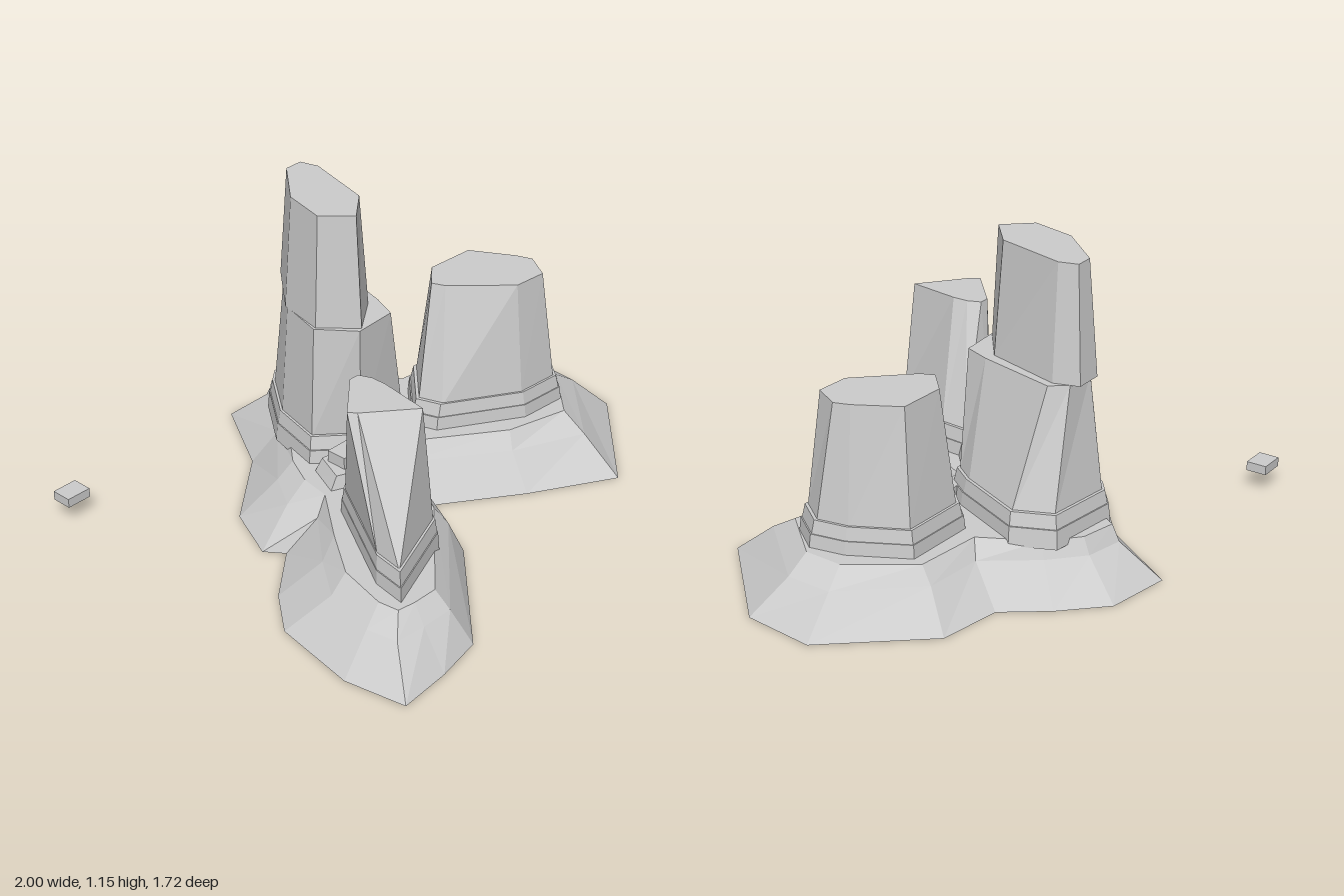
import * as THREE from 'three';

const rock = new THREE.MeshStandardMaterial({ color: 0xcccccc, side: THREE.DoubleSide });
rock.name = 'pale rock';

// Joins outlines of [x, z] points, stacked at given heights, into a faceted solid
function loft(name, levels, closedBottom = true) {
  const pos = [];
  const reversed = THREE.ShapeUtils.area(levels[0][1].map(([x, z]) => new THREE.Vector2(x, z))) < 0;
  const rings = levels.map(([y, pts]) => {
    const ring = pts.map(([x, z]) => new THREE.Vector3(x, y, z));
    return reversed ? ring.reverse() : ring;
  });
  const tri = (...corners) => corners.forEach((p) => pos.push(p.x, p.y, p.z));
  for (let k = 0; k < rings.length - 1; k++) {
    const a = rings[k], b = rings[k + 1];
    a.forEach((p, i) => {
      const j = (i + 1) % a.length;
      tri(p, b[i], a[j]);
      tri(a[j], b[i], b[j]);
    });
  }
  const cap = (ring, up) => {
    const flat = ring.map((p) => new THREE.Vector2(p.x, p.z));
    for (const [i, j, k] of THREE.ShapeUtils.triangulateShape(flat, [])) {
      const turn = THREE.ShapeUtils.area([flat[i], flat[j], flat[k]]) > 0;
      if (turn === up) tri(ring[i], ring[k], ring[j]);
      else tri(ring[i], ring[j], ring[k]);
    }
  };
  cap(rings[rings.length - 1], true);
  if (closedBottom) cap(rings[0], false);
  const geometry = new THREE.BufferGeometry();
  geometry.setAttribute('position', new THREE.Float32BufferAttribute(pos, 3));
  geometry.computeVertexNormals();
  const mesh = new THREE.Mesh(geometry, rock);
  mesh.name = name;
  return mesh;
}

// Scales an outline about its middle
function grow(pts, s) {
  const cx = pts.reduce((t, p) => t + p[0], 0) / pts.length;
  const cz = pts.reduce((t, p) => t + p[1], 0) / pts.length;
  return pts.map(([x, z]) => [cx + (x - cx) * s, cz + (z - cz) * s]);
}

// A tower standing on two stepped ledges
function tower(name, foot, top) {
  const group = new THREE.Group();
  group.name = name;
  group.add(
    loft('lowerLedge', [[0.17, grow(foot, 1.13)], [0.24, grow(foot, 1.1)]]),
    loft('upperLedge', [[0.23, grow(foot, 1.09)], [0.29, grow(foot, 1.04)]]),
    loft('shaft', [[0.28, foot], [0.72, top]]),
  );
  return group;
}

export function createModel() {
  const model = new THREE.Group();
  model.name = 'rockTowers';

  // Sloping base, open underneath
  const ground = [[-0.08, -0.86], [0.18, -0.82], [0.33, -0.67], [0.45, -0.51], [0.7, -0.47], [1, -0.12], [0.96, 0.16],
    [0.58, 0.52], [0.27, 0.34], [-0.03, 0.13], [-0.16, 0.41], [-0.55, 0.8], [-0.74, 0.84], [-0.95, 0.86],
    [-0.99, 0.62], [-0.93, 0.28], [-0.8, 0.12], [-0.6, -0.04], [-0.65, -0.11], [-0.55, -0.33], [-0.26, -0.56]];
  const shelf = [[-0.03, -0.71], [0.12, -0.68], [0.24, -0.57], [0.38, -0.38], [0.62, -0.36], [0.85, -0.1], [0.84, 0.08],
    [0.57, 0.36], [0.3, 0.24], [-0.03, 0], [-0.21, 0.38], [-0.59, 0.73], [-0.72, 0.73], [-0.84, 0.72],
    [-0.86, 0.6], [-0.8, 0.38], [-0.68, 0.22], [-0.5, 0.02], [-0.51, -0.12], [-0.42, -0.26], [-0.19, -0.49]];
  const terrace = [[-0.03, -0.68], [0.11, -0.65], [0.22, -0.55], [0.33, -0.34], [0.6, -0.31], [0.76, -0.08], [0.75, 0.07],
    [0.57, 0.26], [0.33, 0.2], [-0.03, -0.06], [-0.24, 0.34], [-0.6, 0.67], [-0.7, 0.67], [-0.77, 0.66],
    [-0.78, 0.58], [-0.73, 0.38], [-0.6, 0.2], [-0.44, 0], [-0.42, -0.12], [-0.36, -0.24], [-0.16, -0.47]];
  model.add(loft('skirt', [[0, ground], [0.13, shelf]], false));
  model.add(loft('terrace', [[0.13, shelf], [0.19, terrace]], false));

  // Tall rear tower, with a second block on top
  model.add(tower('rearTower',
    [[-0.3, -0.2], [-0.17, -0.08], [0.07, -0.1], [0.13, -0.18], [0.25, -0.44], [0.19, -0.58], [-0.07, -0.61],
      [-0.12, -0.57], [-0.25, -0.4]],
    [[-0.28, -0.2], [-0.18, -0.07], [-0.01, -0.08], [0.03, -0.18], [0.11, -0.49], [0.06, -0.55], [-0.07, -0.55],
      [-0.1, -0.53], [-0.23, -0.38]]));
  const summit = [[-0.24, -0.21], [-0.15, -0.11], [-0.03, -0.21], [0.04, -0.48], [0.02, -0.55], [-0.05, -0.55],
    [-0.2, -0.38]];
  const summitFoot = [[-0.27, -0.2], [-0.16, -0.08], [-0.01, -0.19], [0.08, -0.49], [0.05, -0.585], [-0.06, -0.585],
    [-0.23, -0.39]];
  model.add(loft('summit', [[0.719, summitFoot], [1.15, summit]]));

  // Broad tower on the left
  model.add(tower('leftTower',
    [[0.15, -0.09], [0.31, -0.25], [0.57, -0.24], [0.67, -0.05], [0.69, 0.07], [0.61, 0.17], [0.44, 0.16], [0.18, 0]],
    [[0.25, -0.12], [0.34, -0.2], [0.53, -0.19], [0.62, -0.03], [0.64, 0.03], [0.58, 0.13], [0.45, 0.12],
      [0.27, -0.07]]));

  // Leaning front tower on the right
  model.add(tower('frontTower',
    [[-0.4, 0.48], [-0.7, 0.6], [-0.68, 0.48], [-0.47, 0.13], [-0.36, 0.06], [-0.21, 0.07], [-0.22, 0.18]],
    [[-0.41, 0.44], [-0.58, 0.3], [-0.6, 0.27], [-0.44, 0.13], [-0.4, 0.13], [-0.38, 0.18], [-0.38, 0.24]]));

  // Low rocks bridging the towers
  model.add(loft('saddle', [
    [0.17, [[-0.42, 0], [-0.36, -0.14], [-0.1, -0.1], [0.17, -0.12], [0.2, -0.04], [-0.03, -0.04], [-0.2, 0.1]]],
    [0.24, [[-0.38, 0], [-0.33, -0.12], [-0.1, -0.1], [0.17, -0.12], [0.18, -0.06], [-0.04, -0.06], [-0.2, 0.08]]],
  ]));
  const knob = new THREE.Mesh(new THREE.BoxGeometry(0.1, 0.07, 0.08), rock);
  knob.name = 'saddleKnob';
  knob.position.set(-0.28, 0.25, -0.05);
  model.add(knob);

  // Small loose slab behind
  const slab = new THREE.Mesh(new THREE.BoxGeometry(0.1, 0.035, 0.08), rock);
  slab.name = 'looseSlab';
  slab.position.set(-0.95, 0.092, -0.78);
  model.add(slab);

  return model;
}
